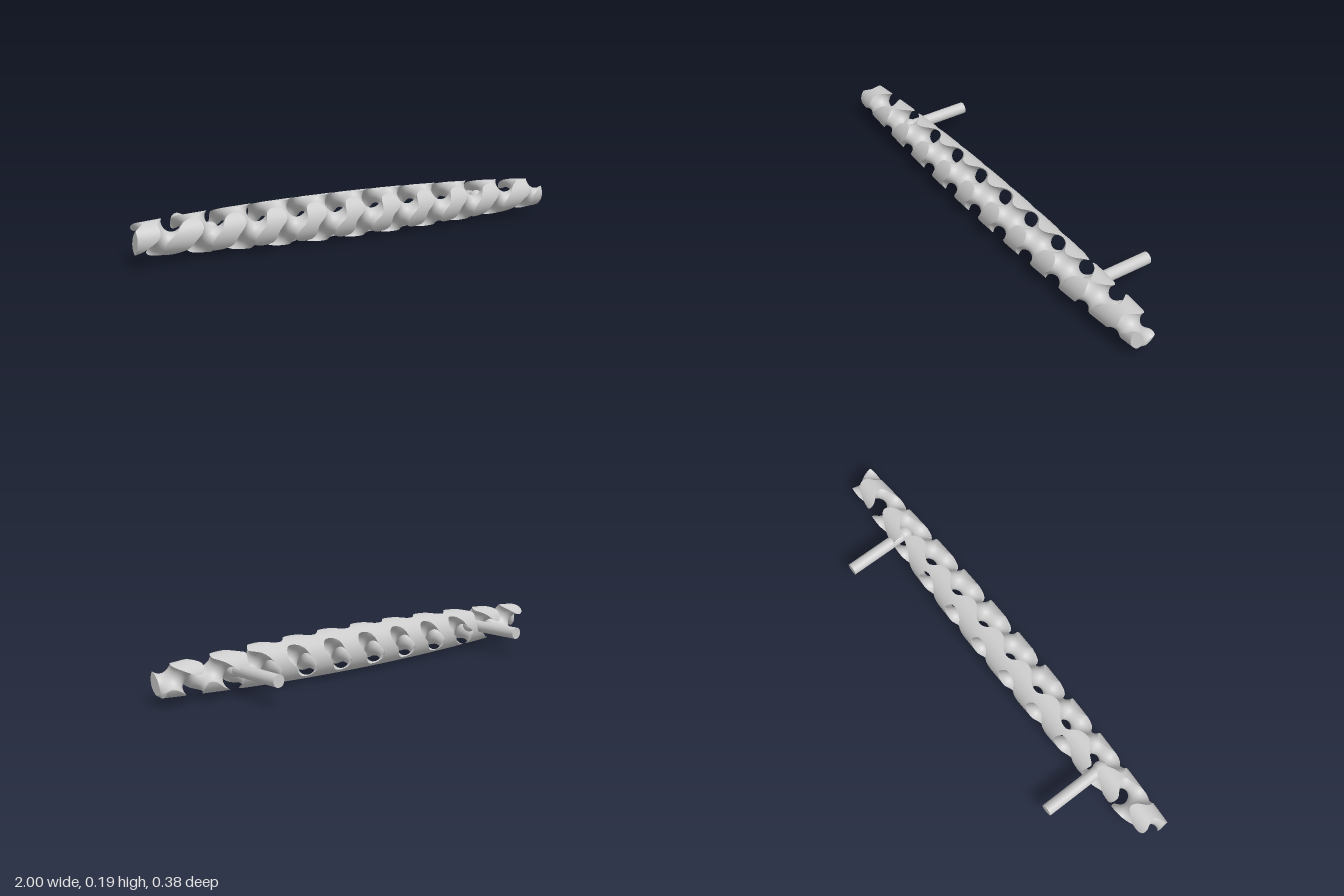
import * as THREE from 'three';

const PERIOD = 0.183, K = (2 * Math.PI) / PERIOD;
const CY = 0.0955, CZ = 0.097;            // axis of the bar
const NX = 160, NR = 10, NT = 40;         // grid: length, radius, angle

// Barrel-shaped envelope of the bar
const radius = x => 0.0955 - 0.035 * x * x;

// Gyroid lattice: solid where the field is positive
const phase = p => [K * (p.x - 0.1077), K * (p.y - 0.141), K * (p.z - 0.044)];
function field(p) {
  const [u, v, w] = phase(p);
  return Math.sin(u) * Math.cos(v) + Math.sin(v) * Math.cos(w) - Math.sin(w) * Math.cos(u);
}
function latticeNormal(p) {
  const [u, v, w] = phase(p);
  return new THREE.Vector3(
    -Math.cos(u) * Math.cos(v) - Math.sin(w) * Math.sin(u),
    Math.sin(u) * Math.sin(v) - Math.cos(v) * Math.cos(w),
    Math.sin(v) * Math.sin(w) + Math.cos(w) * Math.cos(u)).normalize();
}
const envelopeNormal = p => {
  const dy = p.y - CY, dz = p.z - CZ, r = Math.hypot(dy, dz);
  return new THREE.Vector3(0.07 * p.x, dy / r, dz / r).normalize();
};
const endNormal = p => new THREE.Vector3(Math.sign(p.x), 0, 0);

// Point where the field is zero between two grid points
const cross = (a, b) => a.p.clone().lerp(b.p, a.f / (a.f - b.f));

function latticeGeometry() {
  const positions = [], normals = [];
  const ab = new THREE.Vector3(), ac = new THREE.Vector3();

  // Adds a convex polygon as a fan, turned to agree with its outward normals
  function addPolygon(pts, normalAt) {
    for (let i = 1; i + 1 < pts.length; i++) {
      let tri = [pts[0], pts[i], pts[i + 1]];
      ab.subVectors(tri[1], tri[0]).cross(ac.subVectors(tri[2], tri[0]));
      if (ab.lengthSq() < 1e-18) continue;
      const n = tri.map(normalAt);
      if (ab.dot(n[0]) + ab.dot(n[1]) + ab.dot(n[2]) < 0) { tri.reverse(); n.reverse(); }
      tri.forEach((p, j) => { positions.push(p.x, p.y, p.z); normals.push(n[j].x, n[j].y, n[j].z); });
    }
  }

  // Keeps the solid part of a boundary cell
  function addClipped(cell, normalAt) {
    for (const t of [[cell[0], cell[1], cell[2]], [cell[0], cell[2], cell[3]]]) {
      const pts = [];
      t.forEach((a, i) => {
        const b = t[(i + 1) % 3];
        if (a.f > 0) pts.push(a.p);
        if ((a.f > 0) !== (b.f > 0)) pts.push(cross(a, b));
      });
      addPolygon(pts, normalAt);
    }
  }

  // Lattice surface inside one tetrahedron
  function addTetra(t) {
    const a = t.filter(c => c.f > 0), b = t.filter(c => c.f <= 0);
    if (!a.length || !b.length) return;
    const pts = a.length === 2
      ? [cross(a[0], b[0]), cross(a[0], b[1]), cross(a[1], b[1]), cross(a[1], b[0])]
      : a.flatMap(i => b.map(o => cross(i, o)));
    addPolygon(pts, latticeNormal);
  }

  // Cylindrical grid filling the envelope
  const grid = [];
  for (let i = 0; i <= NX; i++) {
    const x = -1 + (2 * i) / NX;
    for (let j = 0; j <= NR; j++) {
      for (let k = 0; k < NT; k++) {
        const r = (radius(x) * j) / NR, t = (2 * Math.PI * k) / NT;
        const p = new THREE.Vector3(x, CY + r * Math.sin(t), CZ + r * Math.cos(t));
        grid.push({ p, f: field(p) });
      }
    }
  }
  const at = (i, j, k) => grid[(i * (NR + 1) + j) * NT + (k % NT)];

  const orders = [[1, 2, 4], [1, 4, 2], [2, 1, 4], [2, 4, 1], [4, 1, 2], [4, 2, 1]];
  for (let i = 0; i < NX; i++) {
    for (let k = 0; k < NT; k++) {
      for (let j = 0; j < NR; j++) {
        const corner = m => at(i + (m & 1), j + ((m >> 1) & 1), k + (m >> 2));
        for (const [a, b] of orders) addTetra([corner(0), corner(a), corner(a + b), corner(7)]);
      }
      addClipped([at(i, NR, k), at(i + 1, NR, k), at(i + 1, NR, k + 1), at(i, NR, k + 1)], envelopeNormal);
    }
  }
  // Flat faces at both ends
  for (const i of [0, NX])
    for (let j = 0; j < NR; j++)
      for (let k = 0; k < NT; k++)
        addClipped([at(i, j, k), at(i, j + 1, k), at(i, j + 1, k + 1), at(i, j, k + 1)], endNormal);

  const g = new THREE.BufferGeometry();
  g.setAttribute('position', new THREE.Float32BufferAttribute(positions, 3));
  g.setAttribute('normal', new THREE.Float32BufferAttribute(normals, 3));
  return g;
}

export function createModel() {
  const model = new THREE.Group();
  model.name = 'latticeHandle';
  const material = new THREE.MeshStandardMaterial({ color: 0xcccccc });

  const bar = new THREE.Mesh(latticeGeometry(), material);
  bar.name = 'latticeBar';
  model.add(bar);

  // Mounting pegs with a ball seated in the bar
  const back = -0.1925, ballZ = 0.088;
  for (const side of [-1, 1]) {
    const mount = new THREE.Group();
    mount.name = side > 0 ? 'leftMount' : 'rightMount';
    mount.position.set(side * 0.667, 0.097, 0);

    const peg = new THREE.Mesh(new THREE.CylinderGeometry(0.0255, 0.0255, ballZ - back, 32), material);
    peg.name = 'peg';
    peg.rotation.x = Math.PI / 2;
    peg.position.z = (ballZ + back) / 2;

    const ball = new THREE.Mesh(new THREE.SphereGeometry(0.033, 32, 20), material);
    ball.name = 'ball';
    ball.position.z = ballZ;

    mount.add(peg, ball);
    model.add(mount);
  }
  return model;
}
